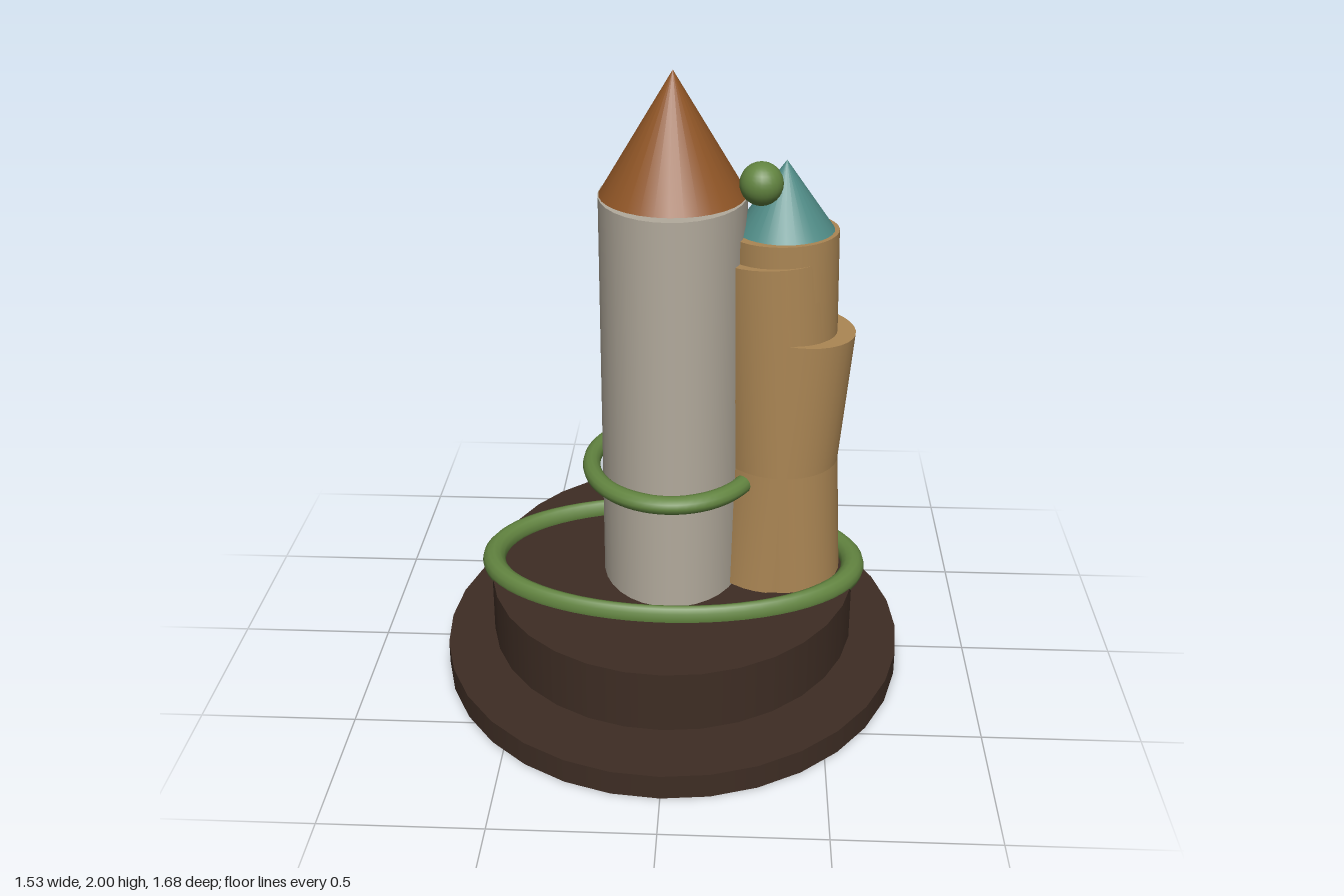
import * as THREE from 'three';

function material(name, color) {
  const m = new THREE.MeshStandardMaterial({ color });
  m.name = name;
  return m;
}

export function createModel() {
  const model = new THREE.Group();
  const wood = material('dark brown', 0x3e2d24);
  const stone = material('pale stone', 0xb2aa9c);
  const sand = material('tan', 0xab8654);
  const rust = material('rust orange', 0x8f5526);
  const teal = material('teal', 0x4f8a85);
  const green = material('leaf green', 0x628440);

  function add(name, geometry, mat) {
    const mesh = new THREE.Mesh(geometry, mat);
    mesh.name = name;
    model.add(mesh);
    return mesh;
  }

  // Upright elliptical drum between two heights
  function drum(name, rx, rz, y0, y1, mat) {
    const g = new THREE.CylinderGeometry(1, 1, y1 - y0, 32);
    g.scale(rx, 1, rz);
    add(name, g, mat).position.y = (y0 + y1) / 2;
  }

  // Round shaft whose axis leans from (x0, y0) to (x1, y1)
  function shaft(name, r, x0, y0, x1, y1) {
    const dx = x1 - x0, dy = y1 - y0;
    const mesh = add(name, new THREE.CylinderGeometry(r, r, Math.hypot(dx, dy), 32), sand);
    mesh.position.set((x0 + x1) / 2, (y0 + y1) / 2, 0);
    mesh.rotation.z = -Math.atan2(dx, dy);
  }

  function roof(name, rx, rz, x, y0, y1, mat) {
    const g = new THREE.ConeGeometry(1, y1 - y0, 32);
    g.scale(rx, 1, rz);
    add(name, g, mat).position.set(x, (y0 + y1) / 2, 0);
  }

  // Horizontal vine ring, stretched along z
  function vine(name, radius, tube, stretch, y) {
    const g = new THREE.TorusGeometry(radius, tube, 12, 64);
    g.rotateX(Math.PI / 2);
    g.scale(1, 1, stretch);
    add(name, g, green).position.y = y;
  }

  // Floating two-step base
  drum('baseDisc', 0.765, 0.842, 0, 0.08, wood);
  drum('upperBase', 0.608, 0.67, 0.12, 0.32, wood);

  // Main tower
  drum('mainTower', 0.23, 0.29, 0.32, 1.62, stone);
  roof('mainRoof', 0.228, 0.246, 0, 1.62, 2, rust);

  // Side tower of overlapping leaning shafts
  shaft('leftLeaningShaft', 0.19, 0.371, 0.32, 0.314, 1.44);
  shaft('rightLeaningShaft', 0.19, 0.312, 0.32, 0.39, 1.193);
  shaft('innerShaft', 0.176, 0.36, 0.5, 0.338, 1.51);
  roof('sideRoof', 0.156, 0.156, 0.346, 1.51, 1.73, teal);

  // Vines and floating ball
  vine('groundVine', 0.607, 0.039, 0.595, 0.33);
  vine('towerVine', 0.267, 0.029, 1.13, 0.7);
  add('floatingBall', new THREE.SphereGeometry(0.064, 24, 16), green).position.set(0.267, 1.73, 0.25);

  return model;
}
